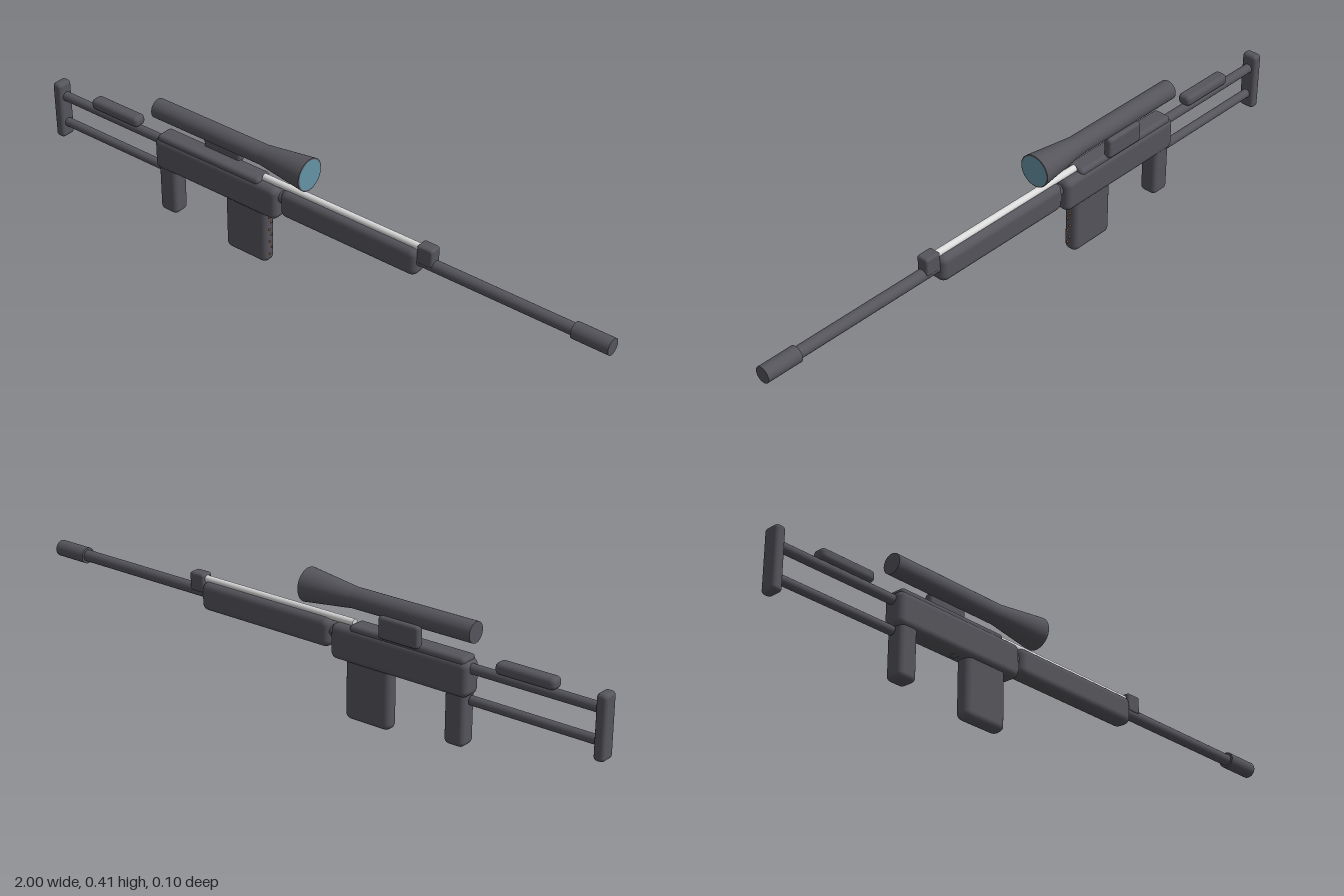
import * as THREE from 'three';
import { RoundedBoxGeometry } from 'three/addons/geometries/RoundedBoxGeometry.js';

const mat = (name, color) => {
  const m = new THREE.MeshStandardMaterial({ color });
  m.name = name;
  return m;
};

export function createModel() {
  const gunmetal = mat('gunmetal', 0x56555c);
  const steel = mat('brightSteel', 0xdcdcdc);
  const glass = mat('lensGlass', 0x6694a5);
  const copper = mat('copper', 0x9a6238);

  const model = new THREE.Group();
  const add = (name, geometry, material, x = 0, y = 0, z = 0) => {
    const mesh = new THREE.Mesh(geometry, material);
    mesh.name = name;
    mesh.position.set(x, y, z);
    model.add(mesh);
    return mesh;
  };

  // Rounded block given by its extents along x, y and z
  const block = (name, [x0, x1], [y0, y1], [z0, z1], r, material = gunmetal) =>
    add(name, new RoundedBoxGeometry(x1 - x0, y1 - y0, z1 - z0, 3, r), material,
      (x0 + x1) / 2, (y0 + y1) / 2, (z0 + z1) / 2);

  // Cylinder lying along x
  const rod = (name, x0, x1, y, r, material = gunmetal, z = 0) =>
    add(name, new THREE.CylinderGeometry(r, r, x1 - x0, 32).rotateZ(-Math.PI / 2), material,
      (x0 + x1) / 2, y, z);

  // Skeleton stock
  block('buttPlate', [-1, -0.967], [0.118, 0.308], [-0.026, 0.026], 0.012);
  rod('upperStockTube', -0.975, -0.55, 0.26, 0.015);
  rod('lowerStockTube', -0.975, -0.57, 0.168, 0.014);
  block('cheekRest', [-0.84, -0.652], [0.272, 0.307], [-0.022, 0.022], 0.014);

  // Body
  block('receiver', [-0.572, -0.105], [0.178, 0.284], [-0.035, 0.035], 0.02);
  block('receiverCover', [-0.562, -0.17], [0.25, 0.294], [-0.03, 0.03], 0.012);
  block('grip', [-0.563, -0.498], [0.03, 0.2], [-0.029, 0.029], 0.016);
  block('magazine', [-0.307, -0.151], [0.002, 0.2], [-0.024, 0.024], 0.02);
  block('catch', [-0.345, -0.325], [0.174, 0.19], [-0.01, 0.01], 0.004);

  // Staggered studs down the front of the magazine
  for (let i = 0; i < 7; i++) {
    add('magazineStud', new THREE.SphereGeometry(0.0035, 10, 8), copper,
      -0.15, 0.162 - i * 0.0215, i % 2 ? -0.004 : 0.005);
  }

  // Barrel group
  block('handguard', [-0.095, 0.387], [0.2, 0.288], [-0.03, 0.03], 0.022);
  rod('barrel', -0.15, 0.9, 0.25, 0.018);
  rod('muzzle', 0.885, 1, 0.25, 0.025);
  block('frontSight', [0.384, 0.437], [0.25, 0.308], [-0.02, 0.02], 0.008);
  rod('gasRod', -0.17, 0.4, 0.291, 0.011, steel);

  // Scope: straight tube flaring to the front lens
  const profile = [[0, -0.578], [0.031, -0.578], [0.031, -0.17], [0.051, -0.004], [0.047, -0.004], [0, -0.006]];
  // separate bands keep the corners crisp
  for (let i = 0; i < profile.length - 1; i++) {
    const pts = [profile[i], profile[i + 1]].map(([r, x]) => new THREE.Vector2(r, x));
    add('scopeBody', new THREE.LatheGeometry(pts, 40).rotateZ(-Math.PI / 2), gunmetal, 0, 0.366, 0);
  }
  add('scopeLens', new THREE.CircleGeometry(0.047, 40).rotateY(Math.PI / 2), glass, -0.003, 0.366, 0);
  block('scopeMount', [-0.415, -0.278], [0.283, 0.35], [-0.04, -0.013], 0.01);

  return model;
}
